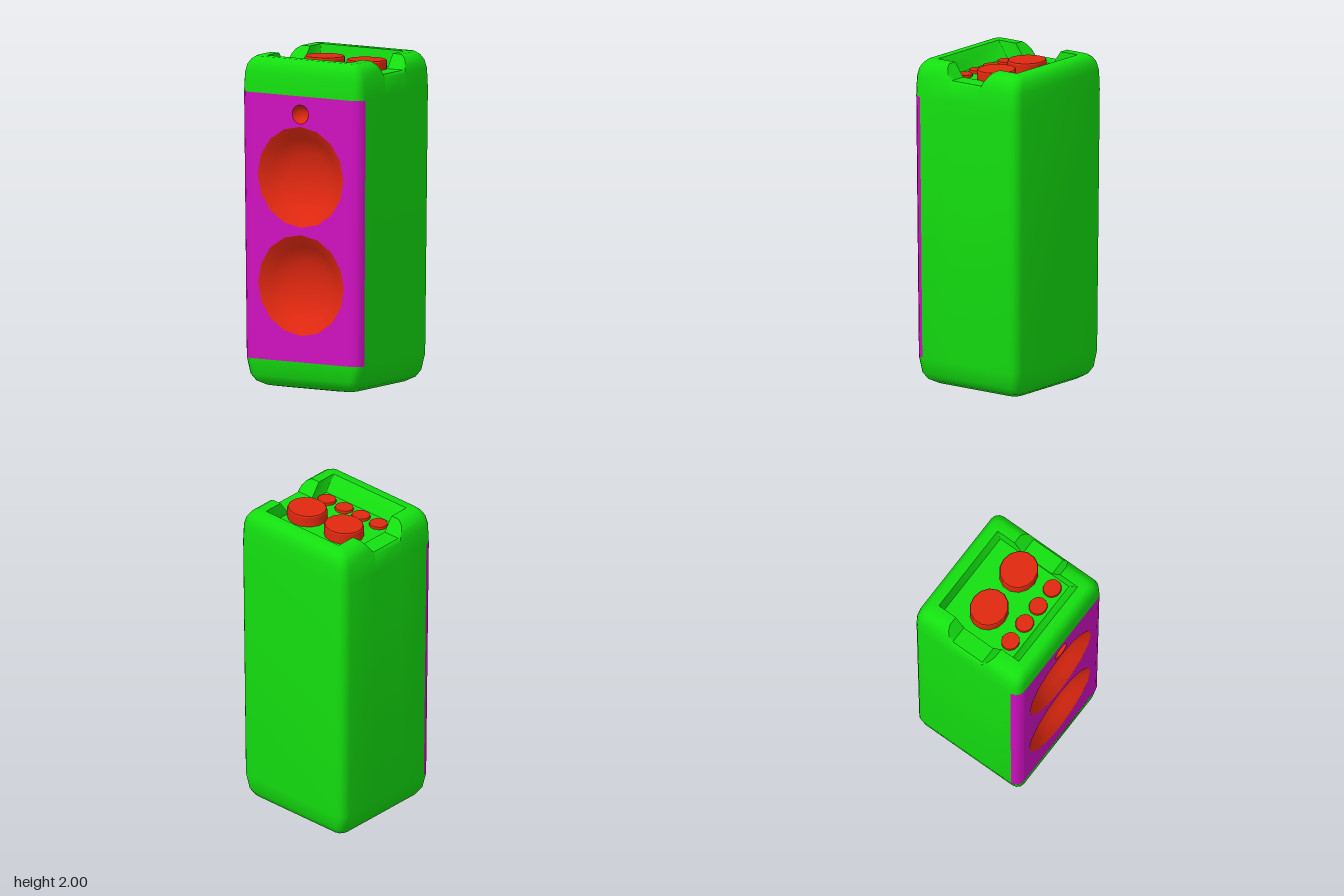
import * as THREE from 'three';
import { mergeVertices, toCreasedNormals } from 'three/addons/utils/BufferGeometryUtils.js';

const material = (color) => new THREE.MeshStandardMaterial({ color });
const GREEN = material(0x14e010), RED = material(0xe02810), MAGENTA = material(0xd010c0);
const NOTCH_Y = 1.915, CREASE = 0.8;

// Cross-sections from the base, over the rim and down into the top pocket.
// y, half width, half depth, corner radius, z offset
const SECTIONS = [
  [0, 0.24, 0.26, 0.04, 0],
  [0.01, 0.32, 0.31, 0.05, 0],
  [0.035, 0.365, 0.35, 0.05, 0],
  [0.075, 0.39, 0.372, 0.05, 0],
  [0.175, 0.413, 0.383, 0.055, 0],
  [1.785, 0.427, 0.395, 0.06, 0],
  [1.9, 0.42, 0.392, 0.055, 0],
  [1.95, 0.406, 0.385, 0.055, 0],
  [1.98, 0.386, 0.37, 0.05, 0],
  [2, 0.355, 0.35, 0.04, 0],
  [2, 0.295, 0.298, 0.004, 0.002],
  [1.9, 0.295, 0.255, 0.004, -0.02],
];
const PANEL_LOW = 4, PANEL_HIGH = 5, FRONT_EDGE = 3;

// Rounded rectangle; the middle of each side dips for the notch
function section([y, hx, hz, r, cz]) {
  const points = [];
  const slopeZ = 0.115 + 0.055 * Math.max(0, (y - NOTCH_Y) / (2 - NOTCH_Y));
  const corners = [[-1, 1], [1, 1], [1, -1], [-1, -1]];
  corners.forEach(([sx, sz], k) => {
    for (let i = 0; i < 4; i++) {
      const a = (k + i / 3) * Math.PI / 2;
      points.push(new THREE.Vector3(
        sx * (hx - r) - r * Math.cos(a), y, cz + sz * (hz - r) + r * Math.sin(a)));
    }
    if (k % 2 === 1) {
      for (const z of [slopeZ, 0.11, -0.11, -slopeZ]) {
        const dip = Math.abs(z) <= 0.11 ? Math.min(y, NOTCH_Y) : y;
        points.push(new THREE.Vector3(sx * hx, dip, sx * z));
      }
    }
  });
  return points;
}

function fromTriangles(points) {
  const geometry = new THREE.BufferGeometry().setFromPoints(points);
  return toCreasedNormals(geometry, CREASE);
}

function bodyAndWrap() {
  const rings = SECTIONS.map(section);
  const body = [], wrap = [];
  const n = rings[0].length;
  const base = new THREE.Vector3(0, 0, 0);
  const floor = new THREE.Vector3(0, 1.9, -0.02);
  for (let j = 0; j < n; j++) {
    const k = (j + 1) % n;
    body.push(rings[0][k], rings[0][j], base);
    for (let i = 0; i < rings.length - 1; i++) {
      const onPanel = i === PANEL_LOW && j <= 6;
      if (onPanel && j === FRONT_EDGE) continue;
      const [a, b, c, d] = [rings[i][j], rings[i][k], rings[i + 1][k], rings[i + 1][j]];
      (onPanel ? wrap : body).push(a, b, c, a, c, d);
    }
    const top = rings[rings.length - 1];
    body.push(top[j], top[k], floor);
  }
  return [fromTriangles(body), fromTriangles(wrap)];
}

// Lean a front part to follow the slight taper of the case
function leanToFront(geometry) {
  const p = geometry.attributes.position;
  const [y0, , z0] = SECTIONS[PANEL_LOW], [y1, , z1] = SECTIONS[PANEL_HIGH];
  for (let i = 0; i < p.count; i++) {
    const t = (p.getY(i) - y0) / (y1 - y0);
    p.setZ(i, p.getZ(i) + z0 + (z1 - z0) * t);
  }
  return geometry;
}

function lathe(profile, sides) {
  const points = profile.map(([r, y]) => new THREE.Vector2(r, y));
  return toCreasedNormals(new THREE.LatheGeometry(points, sides), CREASE * 0.6);
}

export function createModel() {
  const model = new THREE.Group();
  const add = (name, geometry, mat) => {
    const mesh = new THREE.Mesh(geometry, mat);
    mesh.name = name;
    model.add(mesh);
    return mesh;
  };

  // Case with pocket and side notches, and the panel's wrapped edges
  const [body, wrap] = bodyAndWrap();
  add('case', body, GREEN);
  add('frontPanelEdges', wrap, MAGENTA);

  // Front panel with speaker openings
  const [low, high] = [SECTIONS[PANEL_LOW], SECTIONS[PANEL_HIGH]];
  const [wl, wh] = [low[1] - low[3], high[1] - high[3]];
  const shape = new THREE.Shape([
    new THREE.Vector2(-wl, low[0]), new THREE.Vector2(wl, low[0]),
    new THREE.Vector2(wh, high[0]), new THREE.Vector2(-wh, high[0]),
  ]);
  const speaker = [[0.305, 0], [0.23, -0.05], [0.2, -0.075], [0.14, -0.1], [0.07, -0.115], [0, -0.12]];
  const pit = [[0.058, 0], [0.045, -0.025], [0.025, -0.04], [0, -0.045]];
  const recesses = [
    ['upperSpeaker', 1.295, speaker],
    ['lowerSpeaker', 0.64, speaker],
    ['smallRecess', 1.675, pit],
  ];
  for (const [name, y, profile] of recesses) {
    shape.holes.push(new THREE.Path().absarc(0, y, profile[0][0], 0, Math.PI * 2, true));
    const bowl = lathe(profile, 16).rotateX(Math.PI / 2).translate(0, y, 0);
    add(name, leanToFront(bowl), RED);
  }
  add('frontPanel', leanToFront(new THREE.ShapeGeometry(shape, 8)), MAGENTA);

  // Buttons in the top pocket
  const button = (name, x, z, r, depthScale, height) => {
    const profile = [[r, 0], [r, height - 0.008], [r * 0.96, height], [0, height]];
    const mesh = add(name, lathe(profile, 14), RED);
    mesh.position.set(x, 1.9, z);
    mesh.scale.z = depthScale;
  };
  for (const x of [-0.115, 0.183]) button('largeButton', x, -0.055, 0.125, 0.92, 0.07);
  for (const x of [-0.195, -0.053, 0.083, 0.224]) button('smallButton', x, 0.163, 0.059, 0.93, 0.016);

  return model;
}
